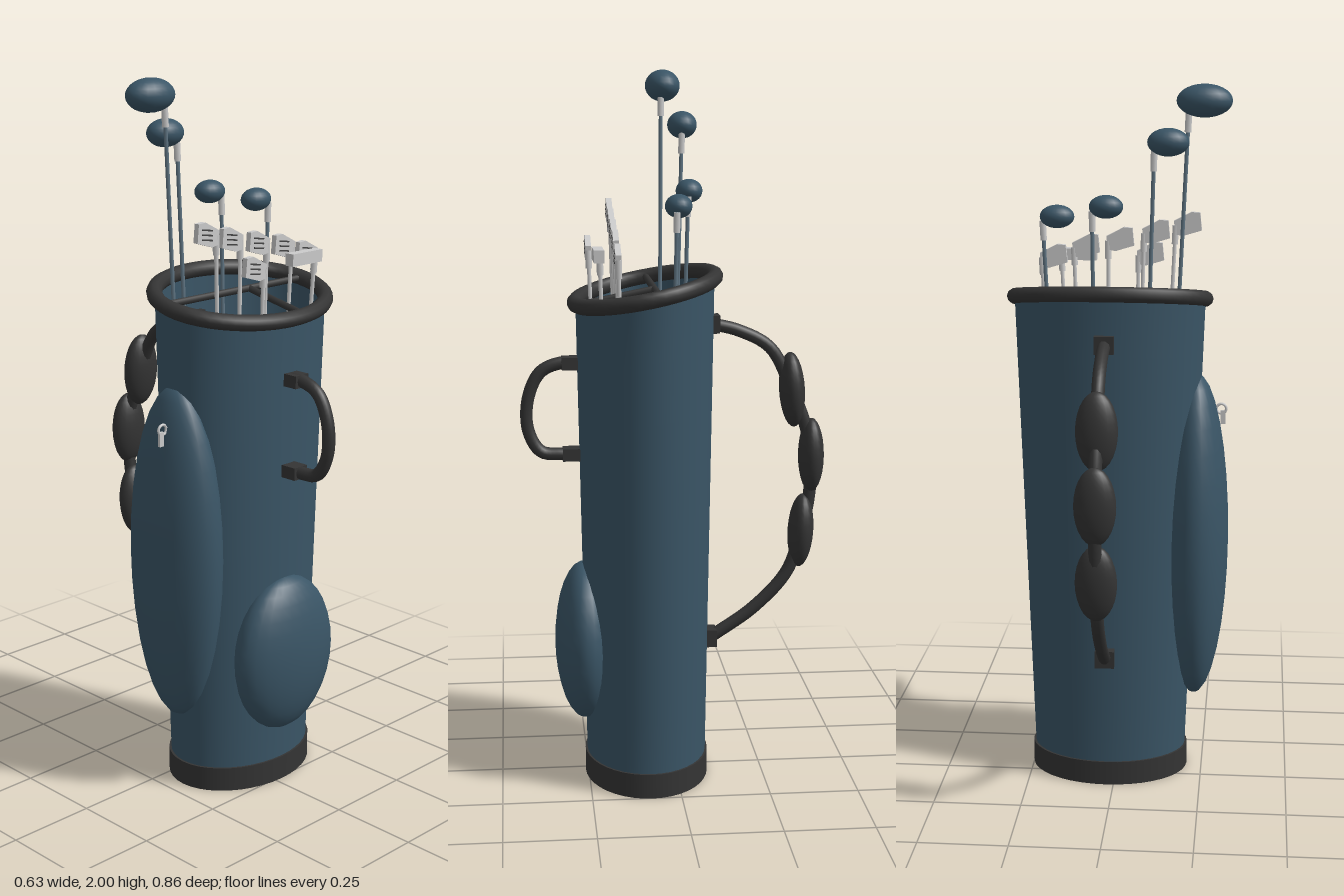
import * as THREE from 'three';

const mat = (color, extra = {}) => new THREE.MeshStandardMaterial({ color, ...extra });
const V = (x, y, z) => new THREE.Vector3(x, y, z);

const CX = 0.023, CZ = 0.083;                        // axis of the bag
const rimY = z => 1.405 - 0.2 * (z - CZ);            // slanted mouth height

export function createModel() {
  const root = new THREE.Group();
  const blue = mat(0x3a5566), dark = mat(0x343434), grey = mat(0xcccccc);
  const shaftBlue = mat(0x5f7482), groove = mat(0x444444);
  const cloth = mat(0x3a5566, { side: THREE.DoubleSide });

  const add = (name, geo, material, pos = [0, 0, 0], parent = root) => {
    const m = new THREE.Mesh(geo, material);
    m.name = name;
    m.position.set(...pos);
    parent.add(m);
    return m;
  };
  const ellipsoid = (name, pos, r, material, w = 24, h = 16, parent = root) =>
    add(name, new THREE.SphereGeometry(1, w, h).scale(...r), material, pos, parent);
  const tube = (name, pts, r, material, closed = false, seg = 40) =>
    add(name, new THREE.TubeGeometry(new THREE.CatmullRomCurve3(pts, closed), seg, r, 10, closed), material);
  // Straight round rod between two points
  const rod = (name, a, b, r, material, parent = root) => {
    const d = b.clone().sub(a);
    const m = add(name, new THREE.CylinderGeometry(r, r, d.length(), 8), material,
      a.clone().add(b).multiplyScalar(0.5).toArray(), parent);
    m.quaternion.setFromUnitVectors(V(0, 1, 0), d.normalize());
    return m;
  };

  // Tapered oval body with a slanted top
  const body = new THREE.CylinderGeometry(1, 1, 1, 40, 8, true);
  const p = body.attributes.position;
  for (let i = 0; i < p.count; i++) {
    const t = p.getY(i) + 0.5;
    const x = CX + p.getX(i) * (0.222 + 0.048 * t);
    const z = CZ + p.getZ(i) * (0.17 + 0.022 * t);
    p.setXYZ(i, x, 0.05 + t * (rimY(z) - 0.05), z);
  }
  body.computeVertexNormals();
  // Match the normals on both sides of the seam
  const n = body.attributes.normal;
  for (let j = 0; j <= 8; j++) {
    const a = j * 41, b = a + 40;
    const s = V(n.getX(a) + n.getX(b), n.getY(a) + n.getY(b), n.getZ(a) + n.getZ(b)).normalize();
    n.setXYZ(a, s.x, s.y, s.z);
    n.setXYZ(b, s.x, s.y, s.z);
  }
  add('bagBody', body, cloth);

  // Base, whose top is the floor of the bag
  add('base', new THREE.CylinderGeometry(1, 1, 0.07, 40).scale(0.229, 1, 0.176), dark, [CX, 0.035, CZ]);

  // Rim around the mouth
  const ring = [];
  for (let i = 0; i < 24; i++) {
    const a = i / 24 * Math.PI * 2, z = CZ + 0.194 * Math.sin(a);
    ring.push(V(CX + 0.27 * Math.cos(a), rimY(z), z));
  }
  tube('rim', ring, 0.022, dark, true, 48);

  // Dividers across the mouth
  rod('crossDivider', V(-0.245, rimY(0.06), 0.06), V(0.29, rimY(0.06), 0.06), 0.01, dark);
  rod('frontDivider', V(0.077, rimY(0.06), 0.06), V(0.077, rimY(0.26), 0.26), 0.01, dark);

  // Pockets and zip pull
  ellipsoid('sidePocket', [-0.225, 0.71, 0.082], [0.095, 0.48, 0.157], blue);
  ellipsoid('frontPocket', [CX, 0.398, 0.258], [0.178, 0.228, 0.085], blue);
  add('zipRing', new THREE.TorusGeometry(0.014, 0.004, 6, 14), grey, [-0.295, 1.085, 0.105]);
  add('zipTab', new THREE.BoxGeometry(0.014, 0.04, 0.008), grey, [-0.3, 1.06, 0.105]);

  // Front carrying handle
  tube('frontHandle', [[0.26, 1.2], [0.32, 1.2], [0.375, 1.175], [0.41, 1.1], [0.41, 1.01],
    [0.375, 0.95], [0.32, 0.942], [0.26, 0.942]].map(([z, y]) => V(CX, y, z)), 0.018, dark);
  for (const y of [1.2, 0.942])
    add('handleMount', new THREE.BoxGeometry(0.05, 0.035, 0.06), dark, [CX, y, 0.285]);

  // Shoulder strap with three pads
  tube('shoulderStrap', [[-0.1, 1.305], [-0.18, 1.285], [-0.27, 1.235], [-0.33, 1.12], [-0.37, 1.02],
    [-0.39, 0.92], [-0.385, 0.8], [-0.363, 0.7], [-0.325, 0.585], [-0.23, 0.48], [-0.1, 0.39]]
    .map(([z, y]) => V(CX, y, z)), 0.018, dark, false, 64);
  for (const [z, y, tilt] of [[-0.333, 1.115, 0.06], [-0.39, 0.925, 0], [-0.363, 0.705, -0.06]])
    ellipsoid('strapPad', [CX, y, z], [0.057, 0.107, 0.036], dark, 20, 14).rotation.x = tilt;
  for (const [y, z] of [[1.305, -0.105], [0.395, -0.1]])
    add('strapMount', new THREE.BoxGeometry(0.055, 0.05, 0.04), dark, [CX, y, z]);

  // Shaft standing on the floor, with a grip below and a hosel at the head
  const stick = (g, foot, top, material) => {
    const at = t => foot.clone().lerp(top, t);
    rod('shaft', foot, top, 0.0055, material, g);
    rod('grip', foot, at(0.4), 0.012, dark, g);
    rod('hosel', at(0.965), top, 0.009, grey, g);
  };
  const club = name => {
    const g = new THREE.Group();
    g.name = name;
    root.add(g);
    return g;
  };

  // Woods: head centre, head radii, shaft top, shaft foot (x, z)
  const woods = [
    [[-0.24, 1.955, 0.01], [0.076, 0.045, 0.05], [-0.198, 1.935, 0.018], [-0.115, 0.035]],
    [[-0.145, 1.847, -0.037], [0.057, 0.038, 0.042], [-0.107, 1.83, -0.033], [-0.06, 0.015]],
    [[0.023, 1.673, -0.04], [0.047, 0.032, 0.037], [0.062, 1.66, -0.034], [0.05, 0.01]],
    [[0.162, 1.641, 0.002], [0.048, 0.032, 0.037], [0.203, 1.628, 0.01], [0.13, 0.035]],
  ];
  for (const [c, r, t, f] of woods) {
    const g = club('wood');
    ellipsoid('woodHead', c, r, blue, 20, 14, g);
    stick(g, V(f[0], 0.08, f[1]), V(...t), shaftBlue);
  }

  // Irons: wedge-shaped blades with three grooves
  const blade = new THREE.Shape([[-0.036, 0.032], [-0.012, 0.034], [0.038, 0.008], [0.034, -0.03],
    [0.012, -0.034], [-0.041, -0.018]].map(([x, y]) => new THREE.Vector2(x, y)));
  const bladeGeo = new THREE.ExtrudeGeometry(blade, { depth: 0.016, bevelEnabled: false }).translate(0, 0, -0.008);
  const irons = [
    [-0.19, 1.605, 0.168, -0.09, 0.13], [-0.1, 1.582, 0.168, -0.037, 0.13], [0.002, 1.56, 0.168, 0.03, 0.13],
    [0.1, 1.54, 0.168, 0.087, 0.13], [0.193, 1.51, 0.168, 0.15, 0.135], [-0.08, 1.51, 0.235, -0.03, 0.185],
  ];
  for (const [x, y, z, fx, fz] of irons) {
    const g = club('iron');
    add('ironHead', bladeGeo, grey, [x, y, z], g);
    for (let i = -1; i <= 1; i++) {
      const line = add('groove', new THREE.BoxGeometry(0.038, 0.004, 0.002), groove,
        [x - 0.006, y + i * 0.013, z + 0.0085], g);
      line.rotation.z = -0.15;
    }
    stick(g, V(fx, 0.08, fz), V(x + 0.033, y - 0.005, z), grey);
  }

  // Putter
  const putter = club('putter');
  add('putterHead', new THREE.BoxGeometry(0.116, 0.034, 0.028), grey, [0.13, 1.51, 0.217], putter);
  stick(putter, V(0.1, 0.08, 0.17), V(0.175, 1.51, 0.215), grey);

  return root;
}
